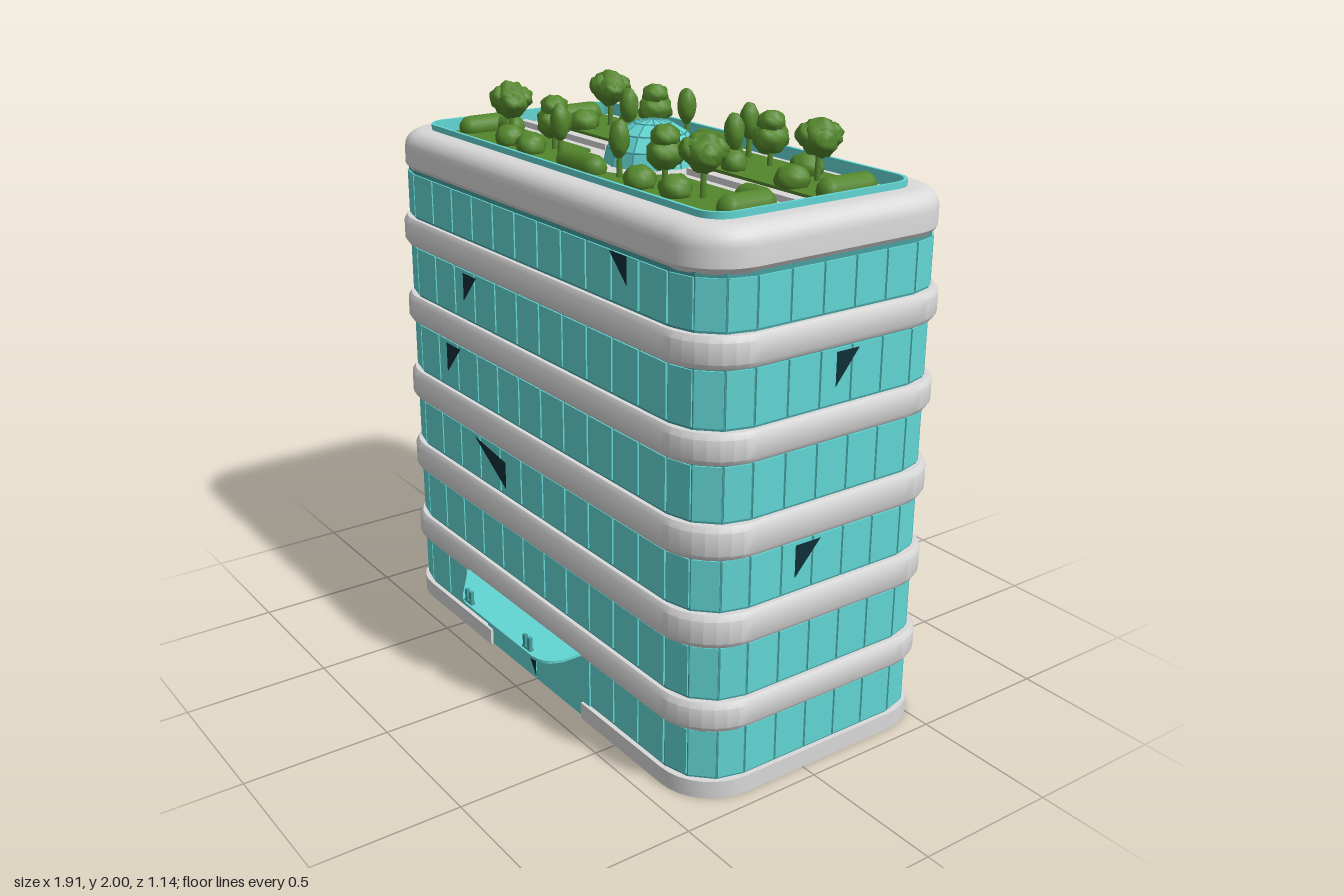
import * as THREE from 'three';
import { mergeGeometries, toCreasedNormals } from 'three/addons/utils/BufferGeometryUtils.js';

const mat = (name, color, extra = {}) => Object.assign(new THREE.MeshStandardMaterial({ color, ...extra }), { name });

export function createModel() {
  const concrete = mat('concrete', 0xd9d9d9);
  const glass = mat('glass', 0x62d6d4);
  const glassFlat = mat('domeGlass', 0x62d6d4, { flatShading: true });
  const frame = mat('frame', 0x479fa0);
  const dark = mat('darkOpening', 0x0f2e38);
  const green = mat('greenery', 0x54872c);

  const model = new THREE.Group();
  const tower = new THREE.Group();
  tower.name = 'tower';
  tower.position.z = -0.07;
  model.add(tower);

  const add = (parent, name, geo, material, x = 0, y = 0, z = 0) => {
    const m = new THREE.Mesh(geo, material);
    m.name = name;
    m.position.set(x, y, z);
    parent.add(m);
    return m;
  };

  // Rounded rectangular plan, shrunk by an inset; 'cap' collapses to the centre
  const HX = 0.955, HZ = 0.505, R = 0.2;
  const contour = (inset, seg) => {
    if (inset === 'cap') return Array.from({ length: 4 * (seg + 1) }, () => [0, 0]);
    const r = R - inset, pts = [];
    [[1, 1], [-1, 1], [-1, -1], [1, -1]].forEach(([sx, sz], q) => {
      for (let i = 0; i <= seg; i++) {
        const a = (q + i / seg) * Math.PI / 2;
        pts.push([sx * (HX - R) + r * Math.cos(a), sz * (HZ - R) + r * Math.sin(a)]);
      }
    });
    return pts;
  };

  // Sweep a profile of [inset, y] around the plan
  const sweep = (profile, seg = 8, crease = 0.6) => {
    const n = 4 * (seg + 1), pos = [], idx = [];
    profile.forEach(([inset, y], j) => {
      contour(inset, seg).forEach(([x, z], i) => {
        pos.push(x, y, z);
        if (j === profile.length - 1) return;
        const a = j * n + i, b = j * n + (i + 1) % n;
        idx.push(a, a + n, b);
        if (profile[j + 1][0] !== 'cap') idx.push(b, a + n, b + n);
      });
    });
    const g = new THREE.BufferGeometry();
    g.setAttribute('position', new THREE.Float32BufferAttribute(pos, 3));
    g.setIndex(idx);
    return toCreasedNormals(g, crease);
  };

  // Base plinth with a notch for the entrance
  const plan = contour(0.01, 8);
  plan.splice(9, 0, [0.3, 0.495], [0.3, 0.475], [-0.3, 0.475], [-0.3, 0.495]);
  const baseShape = new THREE.Shape(plan.map(([x, z]) => new THREE.Vector2(x, -z)));
  const baseGeo = new THREE.ExtrudeGeometry(baseShape, { depth: 0.06, bevelEnabled: false });
  baseGeo.rotateX(-Math.PI / 2);
  add(tower, 'plinth', toCreasedNormals(baseGeo, 0.6), concrete);

  // Floor bands
  for (const [a, b] of [[0.24, 0.34], [0.53, 0.64], [0.82, 0.93], [1.12, 1.22], [1.41, 1.51]]) {
    add(tower, 'floorBand', sweep([[0.06, a], [0.012, a], [0, a + 0.018], [0, b - 0.018], [0.012, b], [0.06, b]]), concrete);
  }

  // Rounded crown with the sunken roof deck
  const crown = [[0.06, 1.68], [0.03, 1.68], [0.015, 1.7]];
  for (let i = 0; i <= 6; i++) {
    const a = i / 6 * Math.PI / 2;
    crown.push([0.075 - 0.06 * Math.cos(a), 1.755 + 0.06 * Math.sin(a)]);
  }
  crown.push([0.12, 1.815], [0.12, 1.79], ['cap', 1.79]);
  add(tower, 'crown', sweep(crown), concrete);
  add(tower, 'glassParapet', sweep([[0.113, 1.8], [0.113, 1.835], [0.125, 1.835], [0.125, 1.785]]), glass);

  // Glazing: a core behind flat panes, with faceted corners
  add(tower, 'glazingCore', sweep([[0.026, 0.002], [0.026, 1.7]], 3, 0.1), frame);
  const slots = [];
  const slot = (x, z, angle, w) => slots.push({ x, z, angle, w });
  for (const s of [1, -1]) {
    for (let i = 0; i < 11; i++) slot((i - 5) * 0.1373, s * 0.481, s > 0 ? 0 : Math.PI, 0.1373);
    for (let i = 0; i < 5; i++) slot(s * 0.931, (i - 2) * 0.122, s * Math.PI / 2, 0.122);
    for (const t of [1, -1]) for (let i = 0; i < 3; i++) {
      const a = (i + 0.5) * Math.PI / 6, r = 0.18 * Math.cos(Math.PI / 12) - 0.004;
      const nx = s * Math.cos(a), nz = t * Math.sin(a);
      slot(s * 0.755 + r * nx, t * 0.305 + r * nz, Math.atan2(nx, nz), 0.093);
    }
  }
  [[0.06, 0.24], [0.34, 0.53], [0.64, 0.82], [0.93, 1.12], [1.22, 1.41], [1.51, 1.68]].forEach(([a, b], floor) => {
    const panes = slots
      .filter(p => floor > 0 || p.angle !== 0 || Math.abs(p.x) > 0.28)
      .map(p => new THREE.BoxGeometry(p.w - 0.008, b - a - 0.018, 0.008)
        .rotateY(p.angle).translate(p.x, (a + b) / 2, p.z));
    add(tower, 'windowRow', mergeGeometries(panes), glass);
  });

  // Entrance doors
  for (const s of [1, -1]) add(tower, 'entranceDoor', new THREE.BoxGeometry(0.335, 0.236, 0.008), glass, s * 0.17, 0.12, 0.481);

  // Dark triangular openings: [turn about y, distance, corners across and up]
  const q = Math.PI / 2;
  const openings = [
    [0, 0.486, [0.47, 1.67, 0.56, 1.67, 0.56, 1.58]],
    [0, 0.486, [-0.42, 1.39, -0.33, 1.39, -0.42, 1.29]],
    [0, 0.486, [-0.56, 1.1, -0.46, 1.1, -0.56, 0.99]],
    [0, 0.486, [-0.38, 0.8, -0.17, 0.77, -0.17, 0.67]],
    [0, 0.486, [-0.04, 0.07, 0, 0.16, 0, 0.01]],
    [q, 0.936, [0, 1.39, 0.09, 1.39, 0, 1.28]],
    [q, 0.936, [-0.13, 0.8, -0.03, 0.8, -0.13, 0.69]],
    [2 * q, 0.486, [-0.44, 1.39, -0.34, 1.39, -0.44, 1.31]],
    [2 * q, 0.486, [-0.3, 0.52, -0.02, 0.4, -0.1, 0.39]],
    [2 * q, 0.486, [0.35, 0.41, 0.45, 0.46, 0.45, 0.39]],
    [2 * q, 0.486, [-0.45, 0.22, -0.2, 0.2, -0.2, 0.08]],
    [3 * q, 0.936, [0, 1.08, 0.07, 1.0, 0, 0.99]],
    [3 * q, 0.936, [-0.1, 0.73, 0.08, 0.8, 0.08, 0.68]],
  ];
  for (const [turn, dist, c] of openings) {
    const tri = new THREE.Shape([0, 2, 4].map(i => new THREE.Vector2(c[i], c[i + 1])));
    add(tower, 'darkOpening', new THREE.ShapeGeometry(tri).translate(0, 0, dist).rotateY(turn), dark);
  }

  // Entrance canopy with two small upright brackets
  const can = new THREE.Shape();
  can.moveTo(-0.43, -0.42);
  can.lineTo(-0.43, -0.44);
  can.lineTo(-0.3, -0.53);
  can.quadraticCurveTo(-0.25, -0.57, -0.2, -0.57);
  can.lineTo(0.23, -0.57);
  can.quadraticCurveTo(0.31, -0.56, 0.31, -0.48);
  can.lineTo(0.31, -0.42);
  const canGeo = new THREE.ExtrudeGeometry(can, { depth: 0.01, bevelEnabled: false, curveSegments: 6 });
  add(model, 'entranceCanopy', canGeo.rotateX(-q), glass, 0, 0.245, 0);
  for (const x of [-0.21, 0.18]) {
    add(model, 'canopyBracket', new THREE.BoxGeometry(0.05, 0.008, 0.014), frame, x, 0.259, 0.555);
    for (const s of [1, -1]) add(model, 'bracketPost', new THREE.BoxGeometry(0.014, 0.045, 0.012), frame, x + s * 0.014, 0.28, 0.555);
  }

  // Lawns around the circular plaza
  const a0 = Math.asin(0.075 / 0.25);
  const lawn = new THREE.Shape();
  lawn.moveTo(-0.79, 0.075);
  lawn.lineTo(-0.79, 0.33);
  lawn.lineTo(0.79, 0.33);
  lawn.lineTo(0.79, 0.075);
  lawn.absarc(0, 0, 0.25, a0, Math.PI - a0, false);
  for (const turn of [0, Math.PI]) {
    const g = new THREE.ExtrudeGeometry(lawn, { depth: 0.012, bevelEnabled: false, curveSegments: 16 });
    add(model, 'lawn', g.rotateX(-q).rotateY(turn), green, 0, 1.788, -0.07);
  }

  // Raised path strips with a kerb
  for (const s of [1, -1]) {
    add(model, 'pathStrip', new THREE.BoxGeometry(0.6, 0.012, 0.055), concrete, s * 0.53, 1.795, -0.075);
    add(model, 'pathKerb', new THREE.BoxGeometry(0.6, 0.012, 0.012), concrete, s * 0.53, 1.805, -0.053);
  }

  // Faceted skylight dome with ribs and rings
  const dome = new THREE.Group();
  dome.name = 'skylightDome';
  dome.position.set(0, 1.785, -0.08);
  dome.scale.y = 0.9;
  model.add(dome);
  add(dome, 'domeGlass', new THREE.SphereGeometry(0.162, 12, 4, 0, Math.PI * 2, 0, q), glassFlat);
  for (let i = 0; i < 6; i++) add(dome, 'domeRib', new THREE.TorusGeometry(0.16, 0.004, 4, 8, Math.PI), frame).rotation.y = i * Math.PI / 6;
  for (const e of [0, q / 4, q / 2, 3 * q / 4]) {
    add(dome, 'domeRing', new THREE.TorusGeometry(0.16 * Math.cos(e), 0.004, 4, 12), frame, 0, 0.16 * Math.sin(e), 0).rotation.x = q;
  }

  // Planting: lumpy blobs shaped by a wave rule
  const blob = (name, x, y, z, rx, ry, rz, lump = 0.1) => {
    const g = new THREE.SphereGeometry(1, 16, 11), p = g.attributes.position, v = new THREE.Vector3();
    for (let i = 0; i < p.count; i++) {
      v.fromBufferAttribute(p, i);
      v.multiplyScalar(1 + lump * Math.sin(6 * v.x + 31 * x) * Math.sin(6 * v.y + 17 * z) + lump * Math.sin(7 * v.z + 5 * v.x));
      p.setXYZ(i, v.x * rx, v.y * ry, v.z * rz);
    }
    g.computeVertexNormals();
    add(model, name, g, green, x, y, z);
  };
  const trunk = (x, z, h) => add(model, 'trunk', new THREE.CylinderGeometry(0.007, 0.011, h, 7), green, x, 1.79 + h / 2, z);
  const bush = (x, z, r) => blob('bush', x, 1.82, z, r, 0.045, r, 0.06);
  const slimTree = (x, z) => { trunk(x, z, 0.1); blob('slimTree', x, 1.92, z, 0.032, 0.06, 0.032, 0.05); };
  const midTree = (x, z) => {
    trunk(x, z, 0.1);
    blob('treeCrown', x, 1.89, z, 0.05, 0.05, 0.06);
    blob('treeCrown', x, 1.94, z, 0.042, 0.038, 0.045);
  };
  const bigTree = (x, z) => {
    trunk(x, z, 0.12);
    blob('treeCrown', x, 1.935, z, 0.06, 0.058, 0.055, 0.12);
    for (let i = 0; i < 4; i++) blob('treeCrown', x + 0.04 * Math.cos(i * q + 0.5), 1.93 + 0.012 * (i % 2), z + 0.035 * Math.sin(i * q + 0.5), 0.036, 0.036, 0.036, 0.12);
  };
  const hedge = (x, z, len, alongX) => {
    const g = new THREE.CapsuleGeometry(0.042, len - 0.084, 5, 12);
    if (alongX) g.rotateZ(q); else g.rotateX(q);
    add(model, 'hedge', g, green, x, 1.815, z);
  };
  for (const s of [1, -1]) {
    hedge(s * 0.74, -0.26, 0.22, false);
    hedge(s * 0.74, 0.125, 0.2, false);
    hedge(s * 0.69, 0.055, 0.14, true);
    bigTree(s * 0.565, -0.3);
    bigTree(s * 0.545, 0.13);
    midTree(s * 0.315, -0.32);
    midTree(s * 0.315, 0.1);
    slimTree(s * 0.17, -0.35);
    slimTree(s * 0.17, 0.17);
    slimTree(s * 0.29, -0.19);
    bush(s * 0.47, -0.34, 0.055);
    bush(s * 0.575, -0.19, 0.055);
    bush(s * 0.475, 0.18, 0.05);
    bush(s * 0.315, 0.195, 0.05);
    bush(s * 0.29, -0.19, 0.042);
  }
  hedge(0, -0.35, 0.23, true);
  hedge(0, 0.2, 0.23, true);

  return model;
}
